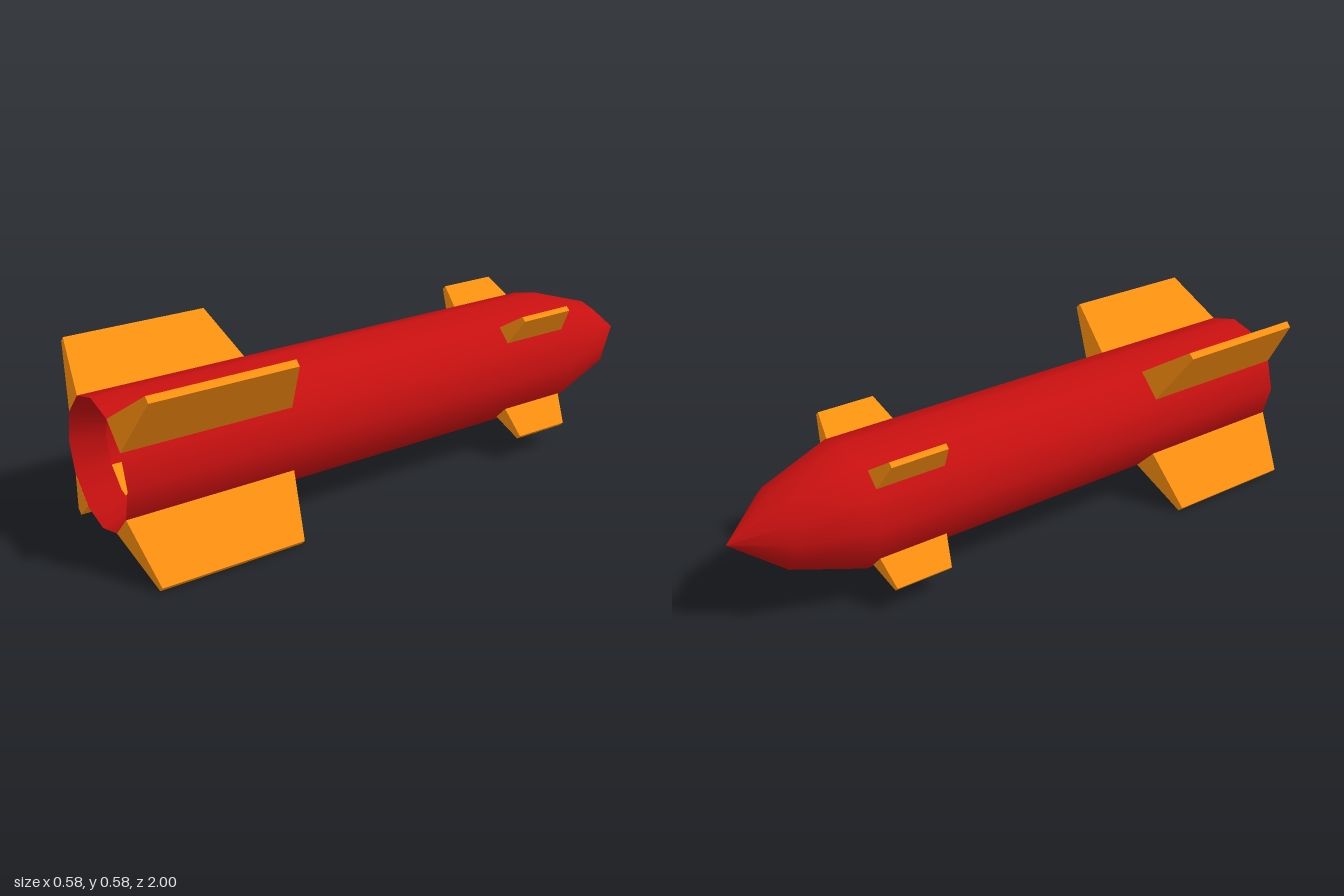
import * as THREE from 'three';

const SIDES = 12;
const AXIS_Y = 0.289;

// Turns a [radius, z] profile around the long axis (nose towards -z)
function turned(name, profile, material) {
  const points = profile.map(([r, z]) => new THREE.Vector2(r, -z));
  const geometry = new THREE.LatheGeometry(points, SIDES);
  geometry.rotateX(-Math.PI / 2);
  const mesh = new THREE.Mesh(geometry, material);
  mesh.name = name;
  return mesh;
}

// Tapered fin pointing along +x: each end is { r, half, z0, z1 }
function finGeometry(root, tip) {
  const geometry = new THREE.BoxGeometry(2, 2, 2);
  const p = geometry.attributes.position;
  for (let i = 0; i < p.count; i++) {
    const end = p.getX(i) > 0 ? tip : root;
    p.setXYZ(i, end.r, p.getY(i) * end.half, p.getZ(i) > 0 ? end.z1 : end.z0);
  }
  geometry.computeVertexNormals();
  return geometry;
}

// Four copies of a fin on the diagonals
function finSet(name, geometry, material) {
  const set = new THREE.Group();
  set.name = name + 's';
  for (let i = 0; i < 4; i++) {
    const fin = new THREE.Mesh(geometry, material);
    fin.name = name;
    fin.rotation.z = Math.PI / 4 + (i * Math.PI) / 2;
    set.add(fin);
  }
  return set;
}

export function createModel() {
  const red = new THREE.MeshStandardMaterial({ color: 0xc81010, side: THREE.DoubleSide });
  const orange = new THREE.MeshStandardMaterial({ color: 0xff9010 });

  const model = new THREE.Group();
  model.name = 'rocket';

  const rocket = new THREE.Group();
  rocket.name = 'rocketBody';
  rocket.position.y = AXIS_Y;
  model.add(rocket);

  // Hollow hull with a pointed nose
  rocket.add(turned('hull', [[0.201, 1], [0.201, -0.615], [0.125, -0.845], [0, -1]], red));

  // Open nozzle lip narrowing into the hull
  rocket.add(turned('nozzle', [[0.165, 0.9], [0.201, 1]], red));

  // Large tail fins
  rocket.add(finSet('tailFin', finGeometry(
    { r: 0.194, half: 0.052, z0: 0.465, z1: 1 },
    { r: 0.397, half: 0.0115, z0: 0.505, z1: 0.96 }), orange));

  // Small fins behind the nose
  rocket.add(finSet('noseFin', finGeometry(
    { r: 0.19, half: 0.031, z0: -0.6, z1: -0.363 },
    { r: 0.293, half: 0.009, z0: -0.578, z1: -0.385 }), orange));

  return model;
}
